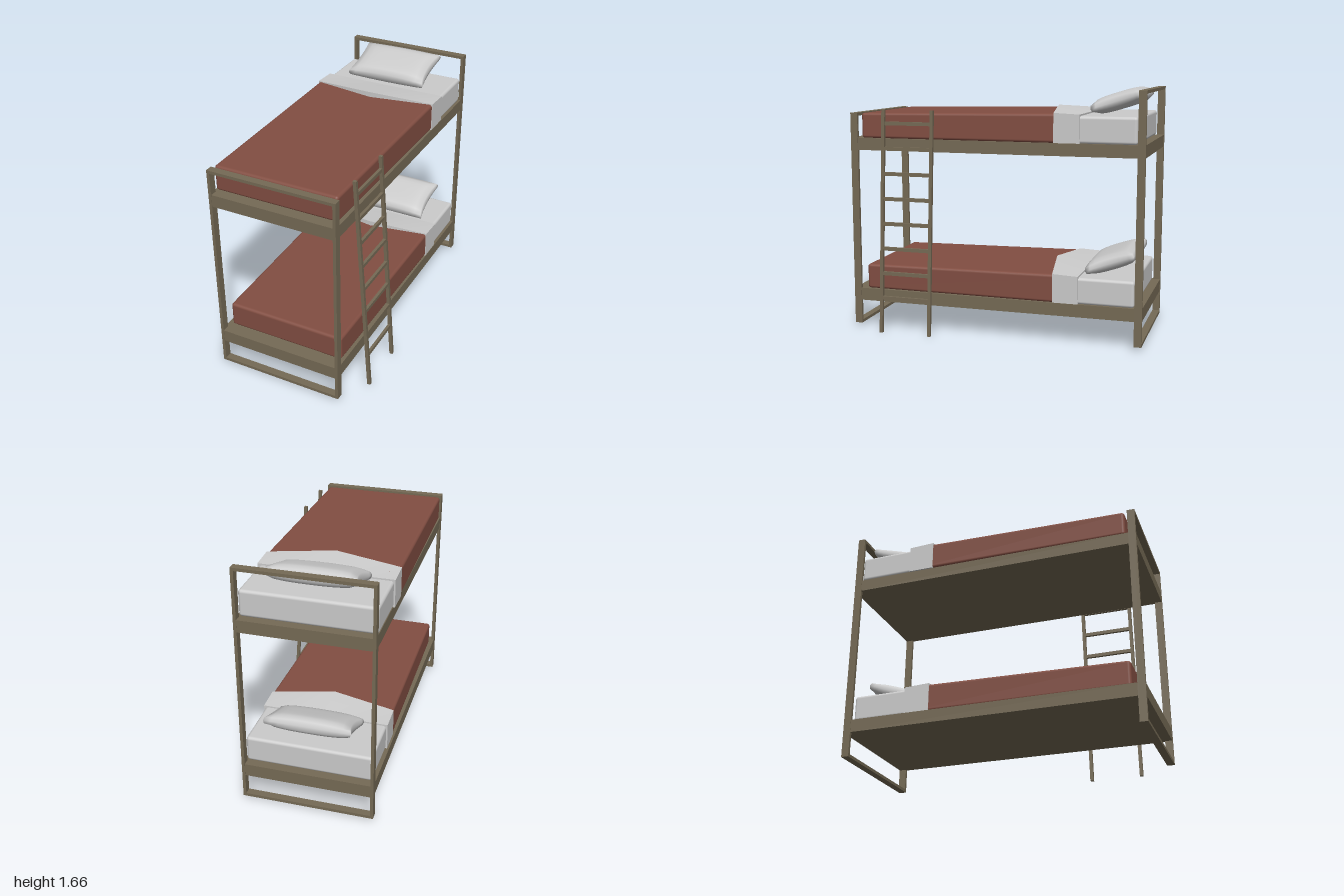
import * as THREE from 'three';
import { RoundedBoxGeometry } from 'three/addons/geometries/RoundedBoxGeometry.js';
import { mergeVertices } from 'three/addons/utils/BufferGeometryUtils.js';

const wood = new THREE.MeshStandardMaterial({ color: 0x756a55 });
const red = new THREE.MeshStandardMaterial({ color: 0x824e42 });
const linen = new THREE.MeshStandardMaterial({ color: 0xcccccc });

// Move every vertex of a geometry by a rule
function reshape(geo, rule) {
  const p = geo.attributes.position, v = new THREE.Vector3();
  for (let i = 0; i < p.count; i++) {
    rule(v.fromBufferAttribute(p, i));
    p.setXYZ(i, v.x, v.y, v.z);
  }
  return geo;
}

function add(parent, name, geo, mat, x = 0, y = 0, z = 0) {
  const mesh = new THREE.Mesh(geo, mat);
  mesh.name = name;
  mesh.position.set(x, y, z);
  parent.add(mesh);
  return mesh;
}

// Box given by its lower and upper limits on each axis
function beam(parent, name, [x0, x1], [y0, y1], [z0, z1]) {
  return add(parent, name, new THREE.BoxGeometry(x1 - x0, y1 - y0, z1 - z0), wood,
    (x0 + x1) / 2, (y0 + y1) / 2, (z0 + z1) / 2);
}

// Rectangular end frame: two posts, a floor bar and a top bar
function endFrame(name, zs, top) {
  const g = new THREE.Group();
  g.name = name;
  beam(g, 'leftPost', [0.36, 0.38], [0.02, top], zs);
  beam(g, 'rightPost', [-0.49, -0.47], [0.02, top], zs);
  for (const [n, y] of [['floorBar', 0.02], ['topBar', top - 0.02]])
    beam(g, n, [-0.47, 0.36], [y, y + 0.02], zs);
  return g;
}

// Puffy cushion with pinched corners and hollow sides
function pillowGeometry() {
  const W = 0.28, D = 0.165;
  let geo = new THREE.BoxGeometry(2, 2, 2, 12, 2, 10);
  geo.deleteAttribute('uv');
  geo.deleteAttribute('normal');
  geo = mergeVertices(geo);
  reshape(geo, (v) => {
    const { x: u, y: h, z: w } = v;
    const puff = Math.sqrt((1 - u ** 4) * (1 - w ** 4));
    const rim = 0.02 + 0.012 * (1 - u * u * w * w);
    const seam = h === 0 ? 1.03 : 1;
    v.set(u * W * seam * (1 - 0.07 * (1 - w * w)), h * (rim + 0.025 * puff),
      w * D * seam * (1 - 0.03 * (1 - u * u)));
  });
  geo.computeVertexNormals();
  return geo;
}

// Mattress, blanket, turned-down sheet and pillow resting at height y
function bedding(name, y, cx, halfW, front, pillow) {
  const g = new THREE.Group();
  g.name = name;
  add(g, 'mattress', new RoundedBoxGeometry(2 * halfW - 0.02, 0.175, 0.5, 3, 0.02), linen, cx, y + 0.087, -0.695);

  // Blanket narrows and drops slightly toward the foot
  const len = front + 0.5, mid = (front - 0.5) / 2;
  const blanket = reshape(new RoundedBoxGeometry(2 * halfW - 0.005, 0.19, len, 3, 0.02), (v) => {
    const t = v.z / len + 0.5;
    v.x *= 1 - 0.032 * t;
    v.y = -0.095 + (v.y + 0.095) * (1 - 0.11 * t);
  });
  add(g, 'blanket', blanket, red, cx, y + 0.095, mid);

  // Folded sheet comes to a shallow raised point in the middle
  const fold = reshape(new THREE.BoxGeometry(2 * halfW, 0.19, 0.17, 4, 1, 1), (v) => {
    const c = 1 - Math.abs(v.x) / halfW;
    if (v.y > 0) v.y += v.z > 0 ? 0.003 + 0.03 * c : -0.005;
    if (v.z > 0) v.z += 0.07 * c;
  });
  fold.computeVertexNormals();
  add(g, 'foldedSheet', fold, linen, cx, y + 0.095, -0.495);

  const p = add(g, 'pillow', pillowGeometry(), linen, ...pillow.at);
  p.rotation.x = pillow.tilt;
  return g;
}

// Leaning ladder with two rails and evenly spaced rungs
function ladder() {
  const g = new THREE.Group();
  g.name = 'ladder';
  const lean = (y) => 0.485 - 0.07 * y;
  for (const z of [0.41, 0.755]) {
    const rail = reshape(new THREE.BoxGeometry(0.022, 1.505, 0.022), (v) => {
      v.y += 0.7525;
      v.x += lean(v.y);
    });
    add(g, 'ladderRail', rail, wood, 0, 0, z);
  }
  for (let i = 0; i < 8; i++) {
    const y = 0.238 + i * 0.168;
    add(g, 'ladderRung', new THREE.BoxGeometry(0.018, 0.024, 0.33), wood, lean(y), y, 0.5825);
  }
  return g;
}

export function createModel() {
  const model = new THREE.Group();
  model.name = 'bunkBed';
  model.add(endFrame('footFrame', [0.95, 1], 1.48), endFrame('headFrame', [-1, -0.95], 1.65));
  // Platforms sit just inside the faces of the posts
  for (const [n, y0, y1] of [['lowerPlatform', 0.185, 0.27], ['upperPlatform', 1.23, 1.312]])
    beam(model, n, [-0.488, 0.378], [y0, y1], [-0.998, 0.998]);
  model.add(
    bedding('lowerBedding', 0.268, -0.05, 0.425, 0.91, { at: [-0.035, 0.52, -0.76], tilt: 0.34 }),
    bedding('upperBedding', 1.31, -0.062, 0.437, 0.93, { at: [-0.075, 1.571, -0.775], tilt: 0.3 }),
    ladder());
  return model;
}
